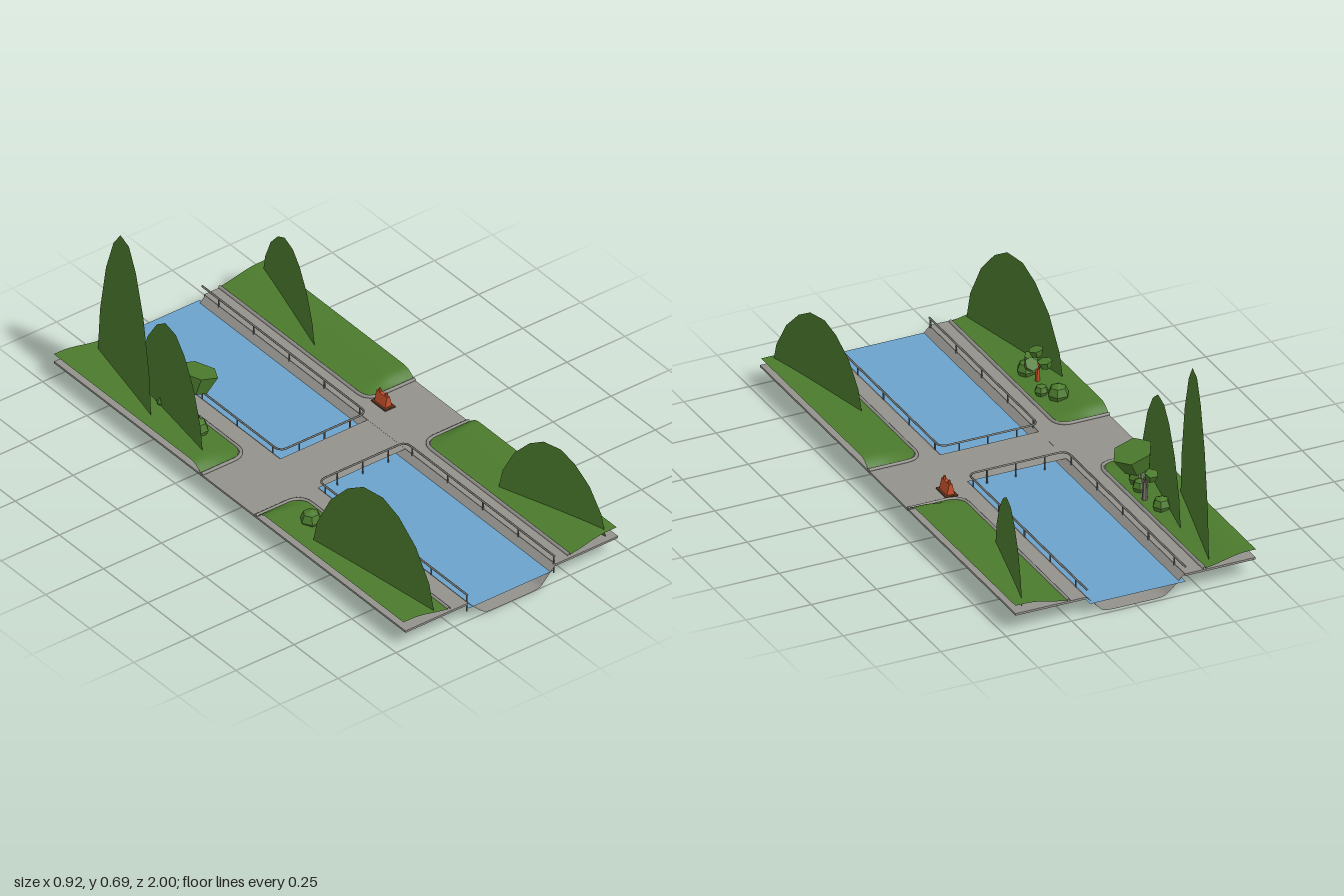
import * as THREE from 'three';

const mat = (name, color, opts = {}) => {
  const m = new THREE.MeshStandardMaterial({ color, ...opts });
  m.name = name;
  return m;
};
const D = { side: THREE.DoubleSide };

export function createModel() {
  const paving = mat('paving', 0x92918c, D);
  const metal = mat('metal', 0x74746f);
  const grass = mat('grass', 0x4b7a2d, D);
  const leaf = mat('leaf', 0x4b7a2d, { flatShading: true });
  const water = mat('water', 0x6ba2ca, D);
  const bark = mat('bark', 0x77706a, { flatShading: true });
  const orange = mat('orange', 0xc4502a, { flatShading: true });
  const brown = mat('brown', 0x5c341f);

  const model = new THREE.Group();
  model.name = 'canalPark';
  const add = (name, geo, material, x = 0, y = 0, z = 0, parent = model) => {
    const m = new THREE.Mesh(geo, material);
    m.name = name;
    m.position.set(x, y, z);
    parent.add(m);
    return m;
  };
  // Flat sheet facing up
  const sheet = (w, d, sx = 1, sz = 1) => new THREE.PlaneGeometry(w, d, sx, sz).rotateX(-Math.PI / 2);
  // Polyline with rounded corners, swept as a tube
  const roundedTube = (pts, r, thick, segs = 140) => {
    const v = pts.map(p => new THREE.Vector3(...p));
    const path = new THREE.CurvePath();
    let start = v[0];
    for (let i = 1; i < v.length - 1; i++) {
      const a = v[i].clone().add(v[i - 1].clone().sub(v[i]).setLength(r));
      const b = v[i].clone().add(v[i + 1].clone().sub(v[i]).setLength(r));
      path.add(new THREE.LineCurve3(start, a));
      path.add(new THREE.QuadraticBezierCurve3(a, v[i], b));
      start = b;
    }
    path.add(new THREE.LineCurve3(start, v[v.length - 1]));
    return new THREE.TubeGeometry(path, segs, thick, 6, false);
  };

  // Banks and the road crossing
  for (const s of [-1, 1]) add('bank', new THREE.BoxGeometry(0.27, 0.008, 1.99), paving, s * 0.324, 0.07, 0.005);
  add('crossing', sheet(0.38, 0.215), paving, 0, 0.0735, 0.0425);

  // Canal bed, a curved open trough
  const bedProfile = new THREE.SplineCurve([
    [-0.19, 0.073], [-0.165, 0.048], [-0.135, 0.02], [-0.1, 0.001], [0, 0],
    [0.108, 0.001], [0.138, 0.02], [0.165, 0.048], [0.19, 0.073],
  ].map(p => new THREE.Vector2(...p)));
  const bed = sheet(1, 1.985, 24, 1);
  const bp = bed.attributes.position;
  for (let i = 0; i < bp.count; i++) {
    const p = bedProfile.getPoint(bp.getX(i) + 0.5);
    bp.setXYZ(i, p.x, Math.max(0, p.y), bp.getZ(i) + 0.0075);
  }
  bed.computeVertexNormals();
  add('canalBed', bed, paving);
  add('water', sheet(0.365, 2), water, -0.004, 0.05, 0);

  // Railings around each pool
  const post = new THREE.CylinderGeometry(0.0028, 0.0028, 0.072, 6);
  for (const [zEnd, zNear] of [[1, 0.15], [-1, -0.067]]) {
    const rail = new THREE.Group();
    rail.name = 'railing';
    model.add(rail);
    const y = 0.104, x = 0.188;
    add('handrail', roundedTube([[-x, y, zEnd], [-x, y, zNear], [x, y, zNear], [x, y, zEnd]], 0.03, 0.0038),
      metal, 0, 0, 0, rail);
    for (const px of [-0.105, 0.005, 0.115]) add('post', post, metal, px, 0.069, zNear, rail);
    const dir = Math.sign(zEnd);
    for (const sx of [-x, x])
      for (let z = Math.abs(zNear) + 0.04; z < 1; z += 0.2) add('post', post, metal, sx, 0.069, dir * z, rail);
  }

  // Grass lawns with a rounded corner and a soft rise, each edged by a curb
  const R = 0.06, near = 0.157, far = 0.99;
  for (const sx of [-1, 1]) for (const sz of [-1, 1]) {
    const inner = sx > 0 ? 0.26 : 0.268;
    const geo = sheet(1, 1, 12, 36);
    const p = geo.attributes.position;
    for (let i = 0; i < p.count; i++) {
      const u = 0.5 + sx * p.getX(i), v = 0.5 + sz * p.getZ(i);
      const d = v * v * (far - near);
      const k = R - Math.min(d, R);
      const edge = inner + R - Math.sqrt(R * R - k * k);
      const x = edge + u * (0.46 - edge);
      const rise = THREE.MathUtils.smoothstep(x - edge, -0.02, 0.16)
        * Math.sin(Math.min(1, d / 0.055) * Math.PI / 2);
      p.setXYZ(i, sx * x, 0.077 + 0.028 * rise, sz * (near + d));
    }
    geo.computeVertexNormals();
    add('lawn', geo, grass);
    add('curb', roundedTube([[sx * (inner - 0.004), 0.077, sz * far], [sx * (inner - 0.004), 0.077, sz * (near - 0.004)],
      [sx * 0.46, 0.077, sz * (near - 0.004)]], R, 0.0065), paving);
  }

  // Flat cut-out hills: ends (x, z) of the base and the peak height
  const half = [[-1, 0], [-0.92, 0.3], [-0.7, 0.64], [-0.42, 0.88], [-0.16, 1]];
  const outline = [...half, ...half.map(([s, h]) => [-s, h]).reverse()];
  const hills = [
    [-0.3, -0.95, -0.412, -0.5, 0.69],
    [-0.31, -0.71, -0.395, -0.23, 0.462],
    [0.42, -0.96, 0.3, -0.51, 0.36],
    [-0.32, 0.98, -0.412, 0.41, 0.445],
    [0.42, 0.98, 0.3, 0.53, 0.36],
  ];
  for (const [x0, z0, x1, z1, top] of hills) {
    const geo = new THREE.ShapeGeometry(new THREE.Shape(outline.map(q => new THREE.Vector2(...q))));
    const p = geo.attributes.position;
    for (let i = 0; i < p.count; i++) {
      const t = (1 - p.getX(i)) / 2;
      p.setXYZ(i, x0 + (x1 - x0) * t, 0.078 + (top - 0.078) * p.getY(i), z0 + (z1 - z0) * t);
    }
    geo.computeVertexNormals();
    add('hill', geo, grass);
  }

  // Bushes: x, y, z, radius
  const bush = new THREE.SphereGeometry(1, 6, 4);
  const bushes = [
    [-0.33, 0.105, -0.345, 0.04], [-0.31, 0.098, -0.395, 0.03], [-0.315, 0.1, -0.55, 0.034],
    [-0.345, 0.105, 0.315, 0.04], [-0.308, 0.097, 0.372, 0.026], [-0.328, 0.102, 0.525, 0.038],
  ];
  for (const [x, y, z, r] of bushes) add('bush', bush, leaf, x, y, z).scale.set(r, r * 0.95, r);

  // Large tree with a forked trunk
  const tree = new THREE.Group();
  tree.name = 'largeTree';
  model.add(tree);
  add('trunk', new THREE.CylinderGeometry(0.007, 0.011, 0.09, 6), bark, -0.295, 0.115, -0.46, tree);
  for (const s of [-1, 1])
    add('branch', new THREE.CylinderGeometry(0.004, 0.006, 0.075, 5), bark, -0.29, 0.18, -0.46 + s * 0.02, tree)
      .rotation.x = s * 0.6;
  const crown = add('crown', new THREE.CylinderGeometry(0.075, 0.05, 0.07, 6), leaf, -0.27, 0.232, -0.435, tree);
  crown.rotation.set(0.15, 0.5, -0.35);
  add('lowerCrown', new THREE.CylinderGeometry(0.025, 0.018, 0.03, 5), leaf, -0.295, 0.195, -0.51, tree).rotation.x = -0.3;

  // Small tree with an orange trunk and leaf clumps
  const small = new THREE.Group();
  small.name = 'smallTree';
  model.add(small);
  add('trunk', new THREE.CylinderGeometry(0.006, 0.011, 0.1, 5), orange, -0.335, 0.115, 0.455, small);
  for (const s of [-1, 1])
    add('branch', new THREE.CylinderGeometry(0.003, 0.005, 0.05, 5), orange, -0.335, 0.15, 0.455 + s * 0.014, small)
      .rotation.x = s * 0.7;
  for (const [x, y, z, t] of [[-0.35, 0.165, 0.425, 0.3], [-0.3, 0.165, 0.44, -0.4], [-0.335, 0.195, 0.465, 0.2], [-0.325, 0.16, 0.49, -0.2]])
    add('leafClump', new THREE.CylinderGeometry(0.027, 0.02, 0.024, 6), leaf, x, y, z, small).rotation.set(t, t * 3, -t);

  // Road barrier: base plate, tapered body and knobs
  const barrier = new THREE.Group();
  barrier.name = 'roadBarrier';
  barrier.position.set(0.287, 0, -0.105);
  model.add(barrier);
  add('base', new THREE.BoxGeometry(0.044, 0.014, 0.08), brown, 0, 0.073, 0, barrier);
  const body = new THREE.BoxGeometry(0.03, 0.04, 0.06);
  const q = body.attributes.position;
  for (let i = 0; i < q.count; i++) if (q.getY(i) > 0) q.setX(i, q.getX(i) * 0.4);
  add('body', body, orange, 0, 0.1, 0, barrier);
  for (const s of [-1, 1])
    add('knob', new THREE.CylinderGeometry(0.004, 0.007, 0.014, 6), orange, 0, 0.125, s * 0.018, barrier);

  return model;
}
